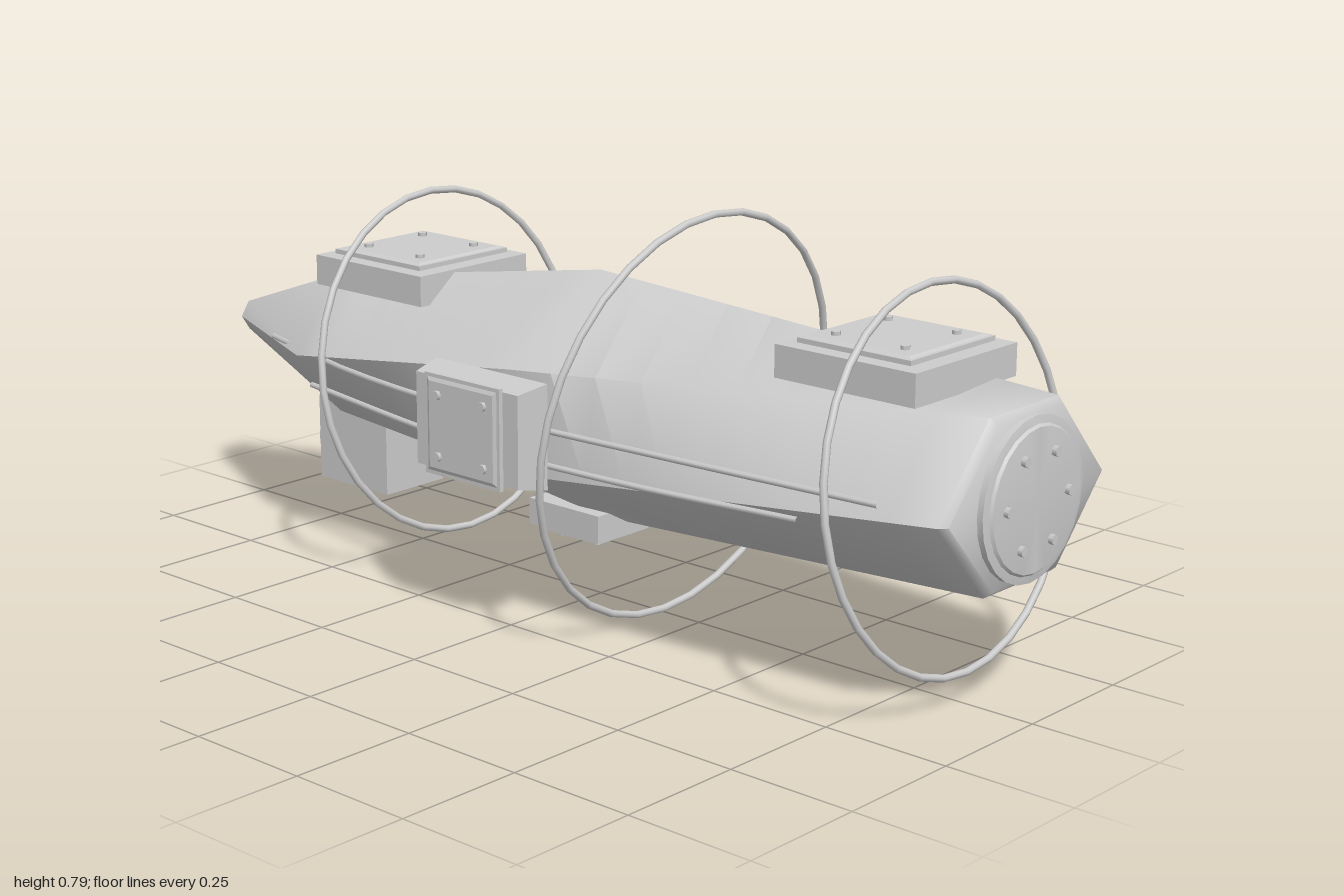
import * as THREE from 'three';
import { toCreasedNormals } from 'three/addons/utils/BufferGeometryUtils.js';

const hullGrey = new THREE.MeshStandardMaterial({ color: 0xcccccc });
hullGrey.name = 'hullGrey';

function add(parent, name, geo, x = 0, y = 0, z = 0) {
  const m = new THREE.Mesh(geo, hullGrey);
  m.name = name;
  m.position.set(x, y, z);
  parent.add(m);
  return m;
}

// Twisted six-sided hull: blends between a few hexagonal sections
function hullGeometry() {
  const flat = (w, wt, top, bot, mid) =>
    [[w, mid], [wt, top], [-wt, top], [-w, mid], [-wt, bot], [wt, bot]];
  const nose = flat(0.24, 0.1, 0.557, 0.245, 0.4);
  const middle = [[0.255, 0.5], [0, 0.645], [-0.255, 0.5], [-0.255, 0.3], [0, 0.159], [0.255, 0.3]];
  const rear = flat(0.215, 0.1, 0.557, 0.272, 0.41);
  rear.push(rear.shift()); // the twist carries on towards the tail
  const tip = flat(0.045, 0.025, 0.43, 0.37, 0.4);
  tip.push(tip.shift());
  const keys = [
    [0.972, flat(0.225, 0.094, 0.546, 0.256, 0.4), 1],
    [0.958, nose, 10], [0, middle, 8], [-0.63, rear, 1], [-1, tip, 0],
  ];
  const rings = [];
  keys.forEach(([z, pts, steps], k) => {
    for (let s = 0; s < steps; s++) {
      const t = s / steps, [z2, next] = keys[k + 1];
      rings.push(pts.map((p, i) => [
        THREE.MathUtils.lerp(p[0], next[i][0], t),
        THREE.MathUtils.lerp(p[1], next[i][1], t),
        THREE.MathUtils.lerp(z, z2, t)]));
    }
    if (!steps) rings.push(pts.map((p) => [...p, z]));
  });
  const pos = rings.flat(2), idx = [], last = (rings.length - 1) * 6;
  for (let r = 0; r < rings.length - 1; r++) {
    for (let i = 0; i < 6; i++) {
      const a = r * 6 + i, b = r * 6 + (i + 1) % 6;
      idx.push(a, a + 6, b, b, a + 6, b + 6);
    }
  }
  for (let i = 1; i < 5; i++) {
    idx.push(0, i, i + 1);
    idx.push(last, last + i + 1, last + i);
  }
  const g = new THREE.BufferGeometry();
  g.setAttribute('position', new THREE.Float32BufferAttribute(pos, 3));
  g.setIndex(idx);
  return toCreasedNormals(g, 0.95);
}

// Box whose upper face is inset by the given amount
function taperedBox(w, h, d, inset) {
  const g = new THREE.BoxGeometry(w, h, d), p = g.attributes.position;
  for (let i = 0; i < p.count; i++) {
    if (p.getY(i) > 0) {
      p.setX(i, p.getX(i) - Math.sign(p.getX(i)) * inset);
      p.setZ(i, p.getZ(i) - Math.sign(p.getZ(i)) * inset);
    }
  }
  g.computeVertexNormals();
  return g;
}

// Square hatch: block, seat, cover plate and four bolts; +y points outward, y = 0 at block top
function hatch(name, w, d, h, inset, plate) {
  const g = new THREE.Group();
  g.name = name;
  add(g, 'hatchBlock', taperedBox(w, h, d, inset), 0, -h / 2, 0);
  add(g, 'hatchSeat', new THREE.BoxGeometry(plate - 0.03, 0.006, plate - 0.03), 0, 0.001, 0);
  add(g, 'hatchCover', new THREE.BoxGeometry(plate, 0.009, plate), 0, 0.0075, 0);
  add(g, 'hatchPanel', taperedBox(plate - 0.012, 0.004, plate - 0.012, 0.008), 0, 0.0135, 0);
  for (const sx of [-1, 1]) {
    for (const sz of [-1, 1]) {
      add(g, 'bolt', new THREE.CylinderGeometry(0.009, 0.009, 0.008, 6),
        sx * plate * 0.305, 0.0185, sz * plate * 0.305);
    }
  }
  return g;
}

// Round port: stepped disc with six bolts, facing +z
function port(name, r, h) {
  const g = new THREE.Group();
  g.name = name;
  const profile = [[0, 0], [r, 0], [r, h * 0.6], [r * 0.9, h * 0.75], [r * 0.87, h], [0, h]]
    .map((p) => new THREE.Vector2(...p));
  const disc = toCreasedNormals(new THREE.LatheGeometry(profile, 24), 0.5);
  add(g, 'portDisc', disc.rotateX(Math.PI / 2));
  for (let i = 0; i < 6; i++) {
    const a = (i * Math.PI) / 3;
    const bolt = new THREE.CylinderGeometry(r * 0.066, r * 0.066, 0.01, 6).rotateX(Math.PI / 2);
    add(g, 'bolt', bolt, Math.cos(a) * r * 0.61, Math.sin(a) * r * 0.61, h + 0.004);
  }
  return g;
}

export function createModel() {
  const model = new THREE.Group();
  model.name = 'vessel';
  add(model, 'hull', hullGeometry());

  // Tilted hoops: z, radius, tilt
  for (const [z, r, tilt] of [[0.81, 0.342, -0.148], [0.22, 0.394, 0.15], [-0.41, 0.34, -0.15]]) {
    const hoop = add(model, 'hoop', new THREE.TorusGeometry(r, 0.007, 8, 32), 0, 0.4, z);
    hoop.rotation.x = tilt;
  }

  // Hatches on the top, sides and belly
  const top = [['frontTopHatch', 0.62, 0.69], ['rearTopHatch', 0.603, -0.49]];
  for (const [name, y, z] of top) {
    const h = hatch(name, 0.292, 0.3, 0.06, 0, 0.242);
    h.position.set(0, y, z);
    model.add(h);
  }
  for (const s of [-1, 1]) {
    const h = hatch(s > 0 ? 'leftHatch' : 'rightHatch', 0.2, 0.285, 0.064, 0.012, 0.192);
    h.rotation.z = -s * Math.PI / 2;
    h.position.set(s * 0.344, 0.4, -0.016);
    model.add(h);
  }
  const belly = hatch('bellyHatch', 0.18, 0.18, 0.052, 0, 0.145);
  belly.rotation.z = Math.PI;
  belly.position.set(0, 0.143, -0.015);
  model.add(belly);

  // Nose port
  const nosePort = port('nosePort', 0.147, 0.019);
  nosePort.position.set(0, 0.4, 0.972);
  model.add(nosePort);

  // Rear pod under the tail with its own port facing back
  add(model, 'rearPod', new THREE.BoxGeometry(0.157, 0.175, 0.2), 0, 0.198, -0.62);
  const podPort = port('podPort', 0.074, 0.012);
  podPort.rotation.y = Math.PI;
  podPort.position.set(0, 0.195, -0.72);
  model.add(podPort);

  // Side rails: x, y, z
  const rails = [
    [[0.24, 0.415, 0.84], [0.273, 0.415, 0.35], [0.288, 0.415, 0], [0.245, 0.415, -0.42], [0.153, 0.415, -0.77]],
    [[0.238, 0.352, 0.67], [0.265, 0.345, 0.3], [0.268, 0.344, -0.1], [0.202, 0.352, -0.6]],
  ];
  for (const s of [-1, 1]) {
    for (const pts of rails) {
      const path = new THREE.CatmullRomCurve3(pts.map(([x, y, z]) => new THREE.Vector3(s * x, y, z)));
      add(model, 'sideRail', new THREE.TubeGeometry(path, 16, 0.006, 6));
    }
  }
  return model;
}
